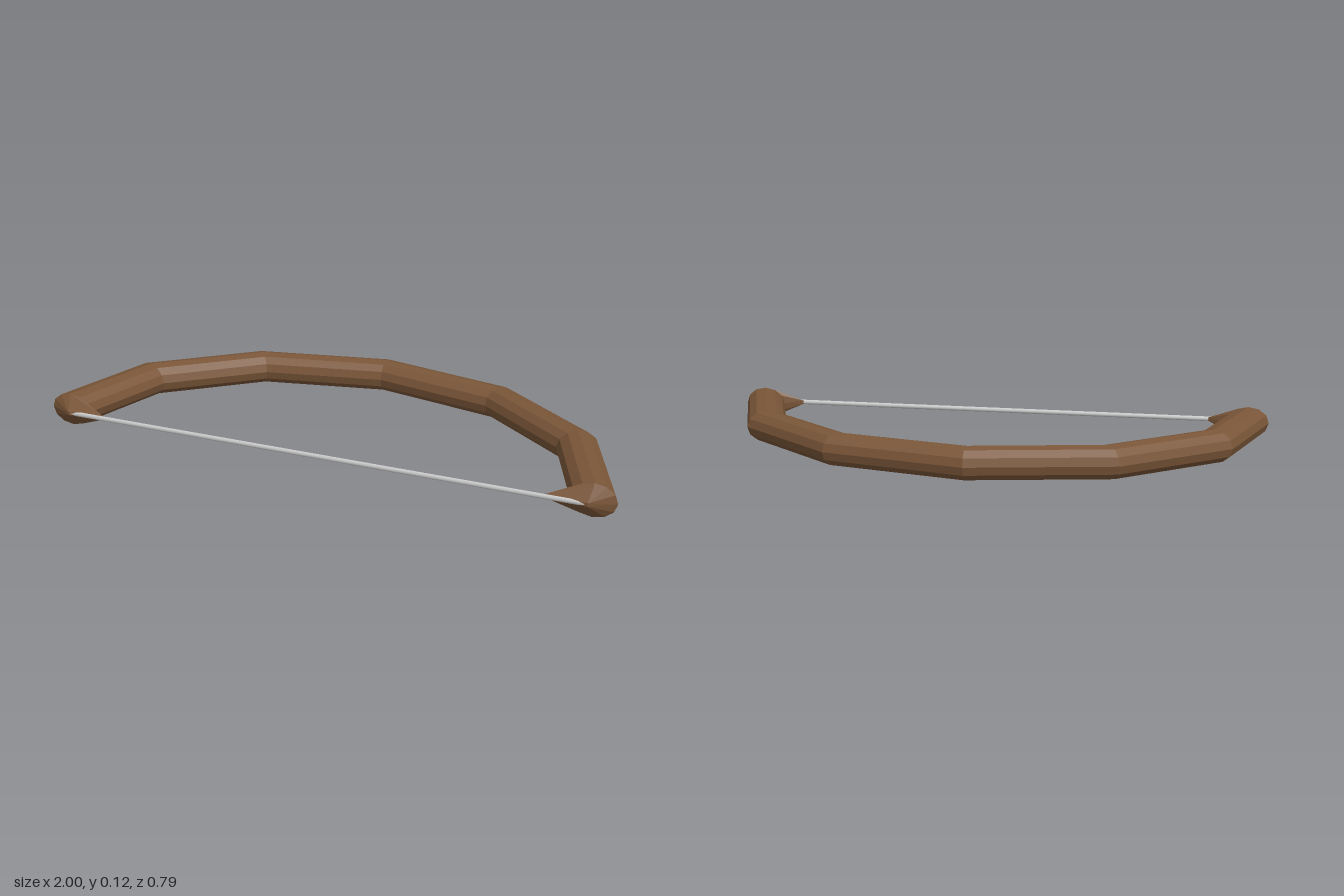
import * as THREE from 'three';
import { ConvexGeometry } from 'three/addons/geometries/ConvexGeometry.js';

const SIDES = 12, R = 0.0585;

// Ring of points spanned between an outer and an inner rim point [x, z]
function ring([ox, oz], [ix, iz]) {
  const pts = [];
  for (let i = 0; i < SIDES; i++) {
    const a = (i / SIDES) * Math.PI * 2;
    const c = Math.cos(a) / 2;
    pts.push(new THREE.Vector3(
      (ox + ix) / 2 + (ox - ix) * c,
      R + R * Math.sin(a),
      (oz + iz) / 2 + (oz - iz) * c));
  }
  return pts;
}

// Open tube through successive rings
function loft(rings) {
  const pos = [], index = [];
  rings.flat().forEach(p => pos.push(p.x, p.y, p.z));
  for (let r = 0; r < rings.length - 1; r++) {
    for (let i = 0; i < SIDES; i++) {
      const j = (i + 1) % SIDES;
      const a = r * SIDES + i, b = r * SIDES + j;
      index.push(a, b, a + SIDES, b, b + SIDES, a + SIDES);
    }
  }
  const g = new THREE.BufferGeometry();
  g.setAttribute('position', new THREE.Float32BufferAttribute(pos, 3));
  g.setIndex(index);
  const flat = g.toNonIndexed();
  flat.computeVertexNormals();
  return flat;
}

export function createModel() {
  const group = new THREE.Group();
  const wood = new THREE.MeshStandardMaterial({ color: 0x7a5638, flatShading: true, side: THREE.DoubleSide });
  const cord = new THREE.MeshStandardMaterial({ color: 0xcccccc });
  const add = (name, geometry, material) => {
    const mesh = new THREE.Mesh(geometry, material);
    mesh.name = name;
    group.add(mesh);
    return mesh;
  };

  // Curved limb: outer and inner rim points from the middle to one tip, then mirrored
  const half = [
    [[0, -0.397], [0, -0.285]],
    [[0.5, -0.297], [0.425, -0.2]],
    [[0.865, -0.02], [0.735, 0.037]],
    [[1, 0.357], [0.85, 0.357]],
  ];
  const flip = ([x, z]) => [-x, z];
  const mirrored = half.slice(1).reverse().map(([o, i]) => [flip(o), flip(i)]);
  add('bowLimb', loft([...mirrored, ...half].map(([o, i]) => ring(o, i))), wood);

  // Pointed tips that run into the string
  for (const s of [1, -1]) {
    const [o, i] = half[3];
    const pts = ring([s * o[0], o[1]], [s * i[0], i[1]]);
    for (const dy of [-0.006, 0.006]) {
      pts.push(new THREE.Vector3(s * 0.915, R + dy, 0.395));
      pts.push(new THREE.Vector3(s * 0.78, R + dy, 0.383));
    }
    add(s > 0 ? 'leftTip' : 'rightTip', new ConvexGeometry(pts), wood);
  }

  // String stretched between the tips
  const string = new THREE.CylinderGeometry(0.009, 0.009, 1.82, 8);
  string.rotateZ(Math.PI / 2).scale(1, 1, 0.7);
  add('bowString', string, cord).position.set(0, R, 0.388);

  return group;
}
